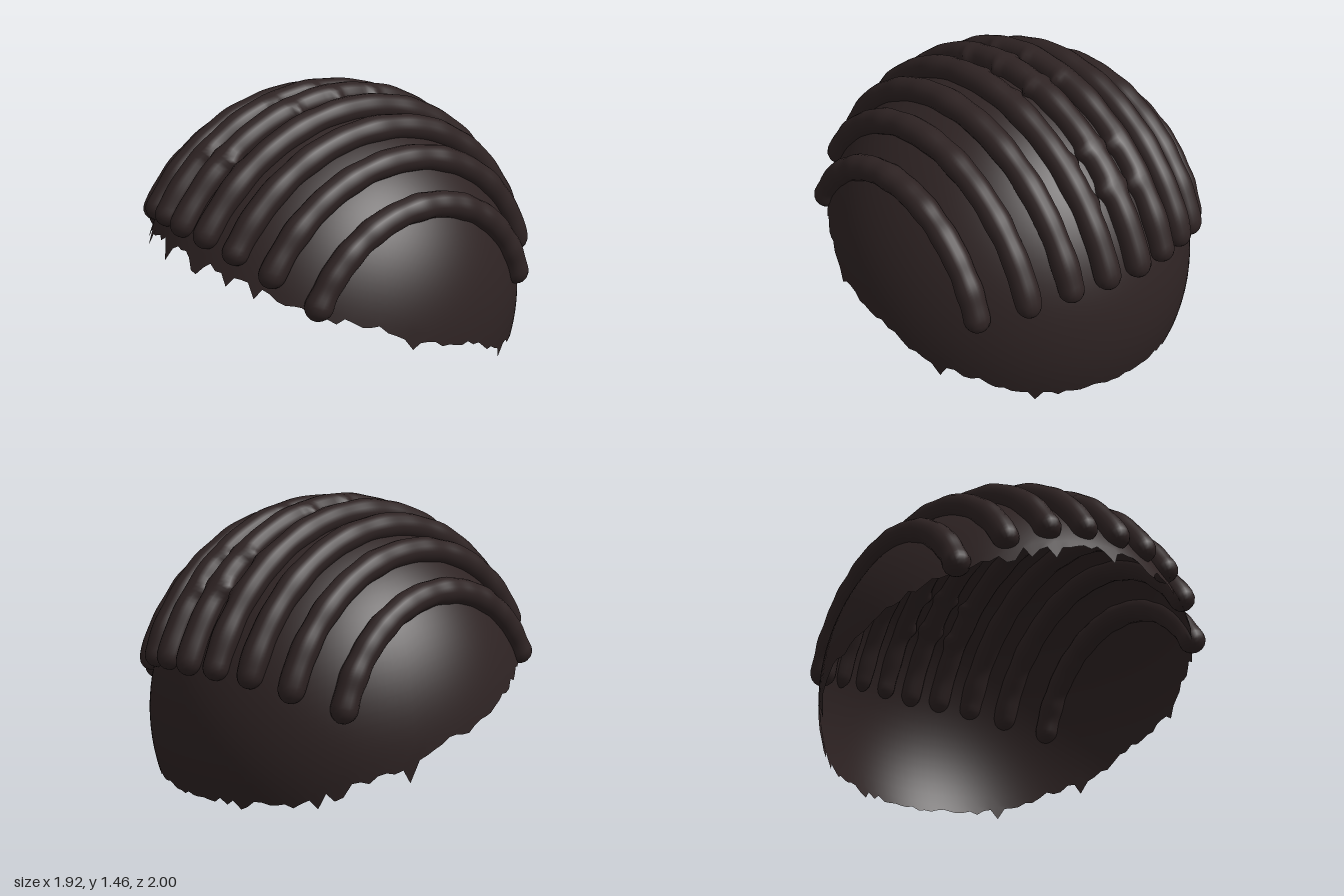
import * as THREE from 'three';

// Scalp ellipsoid: centre height / depth and radii
const CY = 0.34, CZ = 0.05, RX = 0.96, RY = 1.03, RZ = 1.02;

// Hairline height by depth [z, y], falling from brow to nape
const HAIRLINE = [[-0.97, 0.04], [-0.72, 0.07], [-0.6, 0.16], [-0.3, 0.24], [-0.2, 0.33],
  [0.05, 0.39], [0.4, 0.54], [0.7, 0.64], [0.95, 0.79]];

// Depths where the middle braids touch their neighbours
const TOUCH = [-0.735, -0.58, -0.185, 0.05, 0.29, 0.675];

function hairline(z) {
  if (z <= HAIRLINE[0][0]) return HAIRLINE[0][1];
  for (let i = 1; i < HAIRLINE.length; i++) {
    const [z0, y0] = HAIRLINE[i - 1], [z1, y1] = HAIRLINE[i];
    if (z <= z1) return y0 + (y1 - y0) * (z - z0) / (z1 - z0);
  }
  return 0.79;
}

function seeded(seed) {
  let s = seed;
  return () => (s = (s * 16807) % 2147483647) / 2147483647;
}

// Smooth surface from rings that close on themselves
function loft(rings, sides, point) {
  const pos = [], idx = [];
  for (let i = 0; i < rings; i++) {
    for (let j = 0; j < sides; j++) {
      pos.push(...point(i, j));
      if (i === rings - 1) continue;
      const a = i * sides + j, b = i * sides + (j + 1) % sides;
      idx.push(a, a + sides, b, b, a + sides, b + sides);
    }
  }
  const g = new THREE.BufferGeometry();
  g.setAttribute('position', new THREE.Float32BufferAttribute(pos, 3));
  g.setIndex(idx);
  g.computeVertexNormals();
  return g;
}

// Open cap with a ragged, spiky lower edge
function capGeometry() {
  const rand = seeded(77), sides = 150, rings = 32;
  const edge = [], tip = [];
  for (let j = 0; j < sides; j++) {
    const a = j / sides * Math.PI * 2;
    let th = Math.PI / 2, y = CY;
    for (let k = 0; k < 12; k++) {
      y = hairline(CZ + RZ * Math.sin(th) * Math.cos(a));
      th = Math.acos((y - CY) / RY);
    }
    edge.push(th);
    const drop = rand() * 0.035 + (rand() > 0.87 ? 0.06 : 0);
    tip.push(Math.acos((Math.max(0, y - drop) - CY) / RY));
  }
  return loft(rings, sides, (i, j) => {
    const a = j / sides * Math.PI * 2;
    const th = i === rings - 1 ? tip[j] : 0.01 + (edge[j] - 0.03) * i / (rings - 2);
    const s = Math.sin(th);
    return [RX * s * Math.sin(a), CY + RY * Math.cos(th), CZ + RZ * s * Math.cos(a)];
  });
}

// Round-ended braid following the scalp front to back at a fixed x
function braidGeometry(x, frontY, backY, seed) {
  const rand = seeded(seed), p1 = rand() * 6, p2 = rand() * 6;
  const f = Math.sqrt(1 - (x / RX) ** 2);
  const ry = RY * f + 0.022, rz = RZ * f + 0.022, R = 0.067;
  const t0 = Math.asin((frontY - CY) / ry), t1 = Math.PI - Math.asin((backY - CY) / ry);
  const stations = [], capSteps = 5, body = 110;
  for (let k = 0; k < capSteps; k++) {
    const q = (1 - k / capSteps) * Math.PI / 2;
    stations.push([t0 - R * Math.sin(q) / rz, Math.max(0.001, R * Math.cos(q))]);
  }
  for (let k = 0; k <= body; k++) stations.push([t0 + (t1 - t0) * k / body, R]);
  for (let k = 1; k <= capSteps; k++) {
    const q = k / capSteps * Math.PI / 2;
    stations.push([t1 + R * Math.sin(q) / rz, Math.max(0.001, R * Math.cos(q))]);
  }
  const sides = 16;
  return loft(stations.length, sides, (i, j) => {
    const [t, r0] = stations[i], a = j / sides * Math.PI * 2;
    const r = r0 * (1 + 0.025 * Math.sin(t * 17 + p1) + 0.025 * Math.sin(t * 29 + p2));
    const cy = CY + ry * Math.sin(t), cz = CZ + rz * Math.cos(t);
    let dx = r * Math.cos(a);
    const inner = x === 0 || (Math.abs(x) < 0.2 && dx * x < 0);
    if (inner) {
      let bulge = 0;
      for (const z of TOUCH) bulge += Math.exp(-(((cz - z) / 0.025) ** 2));
      dx *= 1 + 0.4 * bulge * r0 / R;
    }
    const n = r * Math.sin(a);
    return [x + dx, cy + n * Math.sin(t), cz + n * Math.cos(t)];
  });
}

export function createModel() {
  const group = new THREE.Group();
  group.name = 'braidedHair';
  const hair = new THREE.MeshStandardMaterial({ color: 0x2e2323, side: THREE.DoubleSide });
  hair.name = 'darkBrownHair';

  const add = (name, geometry) => {
    const mesh = new THREE.Mesh(geometry, hair);
    mesh.name = name;
    group.add(mesh);
  };

  add('hairCap', capGeometry());

  // Nine rows: [x, front end height, back end height], mirrored about the middle
  const rows = [[0, 0.9, 0.69], [0.185, 0.895, 0.69], [0.37, 0.86, 0.67],
    [0.555, 0.785, 0.615], [0.74, 0.65, 0.525]];
  rows.forEach(([x, front, back], i) => {
    if (x === 0) return add('middleBraid', braidGeometry(0, front, back, 11));
    add('leftBraid' + i, braidGeometry(x, front, back, 1000 * i + 7));
    add('rightBraid' + i, braidGeometry(-x, front, back, 5000 * i + 3));
  });
  return group;
}
